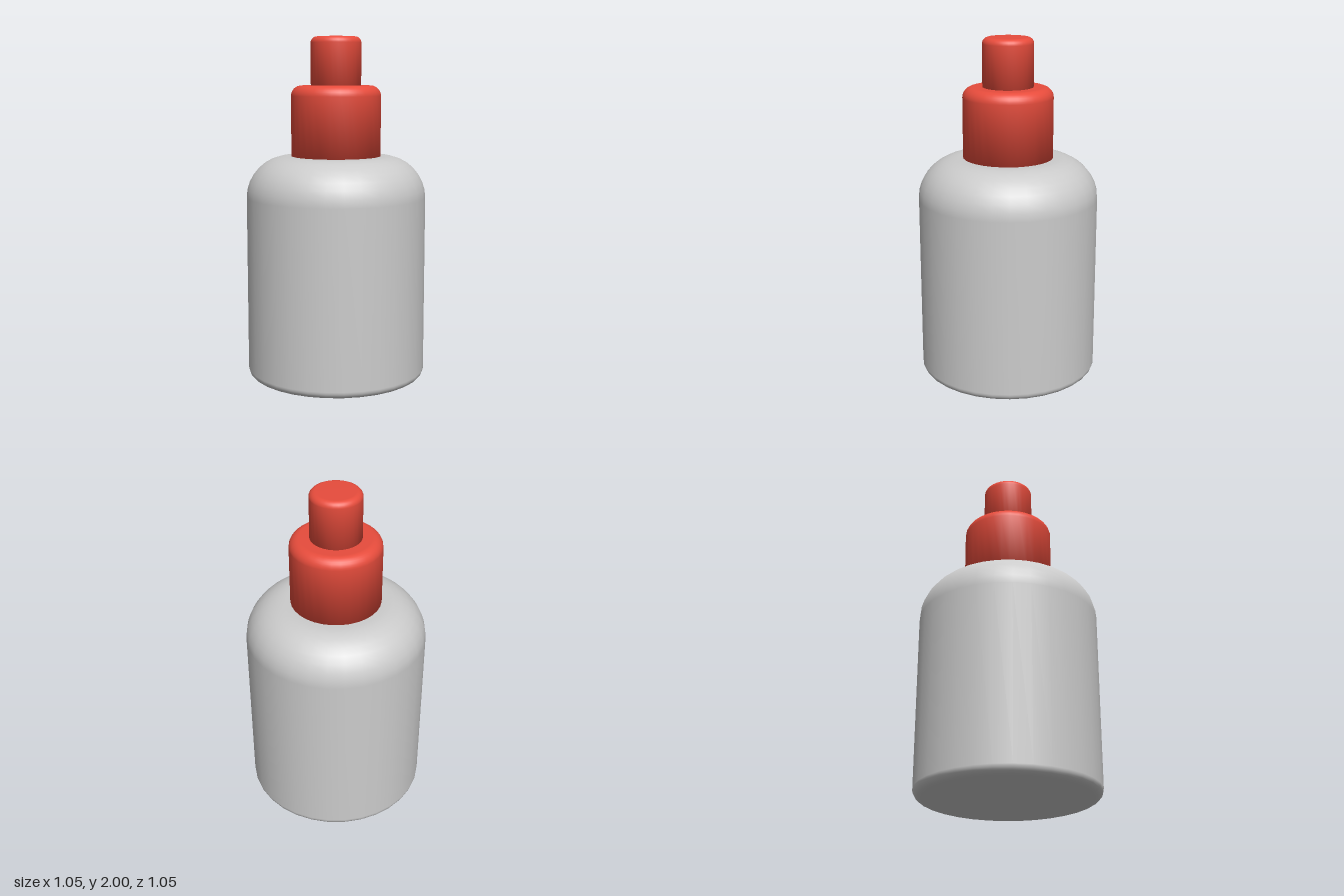
import * as THREE from 'three';

const SIDES = 32;

// Solid of revolution with rounded lower and upper rims
function roundedCylinder(radius, y0, y1, bottomRound, topRound, steps = 8) {
  const points = [new THREE.Vector2(0, y0)];
  const arc = (r, cy, from) => {
    for (let i = 0; i <= steps; i++) {
      const a = from + (i / steps) * Math.PI / 2;
      points.push(new THREE.Vector2(radius - r + r * Math.cos(a), cy + r * Math.sin(a)));
    }
  };
  if (bottomRound > 0) arc(bottomRound, y0 + bottomRound, -Math.PI / 2);
  else points.push(new THREE.Vector2(radius, y0));
  arc(topRound, y1 - topRound, 0);
  points.push(new THREE.Vector2(0, y1));
  return new THREE.LatheGeometry(points, SIDES);
}

export function createModel() {
  const group = new THREE.Group();
  const grey = new THREE.MeshStandardMaterial({ color: 0xcccccc });
  const red = new THREE.MeshStandardMaterial({ color: 0xe74c3c });

  const add = (name, geometry, material) => {
    const mesh = new THREE.Mesh(geometry, material);
    mesh.name = name;
    group.add(mesh);
  };

  // Bottle with broad rounded shoulders
  add('bottleBody', roundedCylinder(0.525, 0, 1.31, 0.045, 0.24), grey);
  // Collar, sunk slightly into the shoulder
  add('capCollar', roundedCylinder(0.262, 1.29, 1.72, 0, 0.06), red);
  // Nozzle, sunk slightly into the collar
  add('nozzle', roundedCylinder(0.147, 1.7, 2, 0, 0.035), red);

  return group;
}
